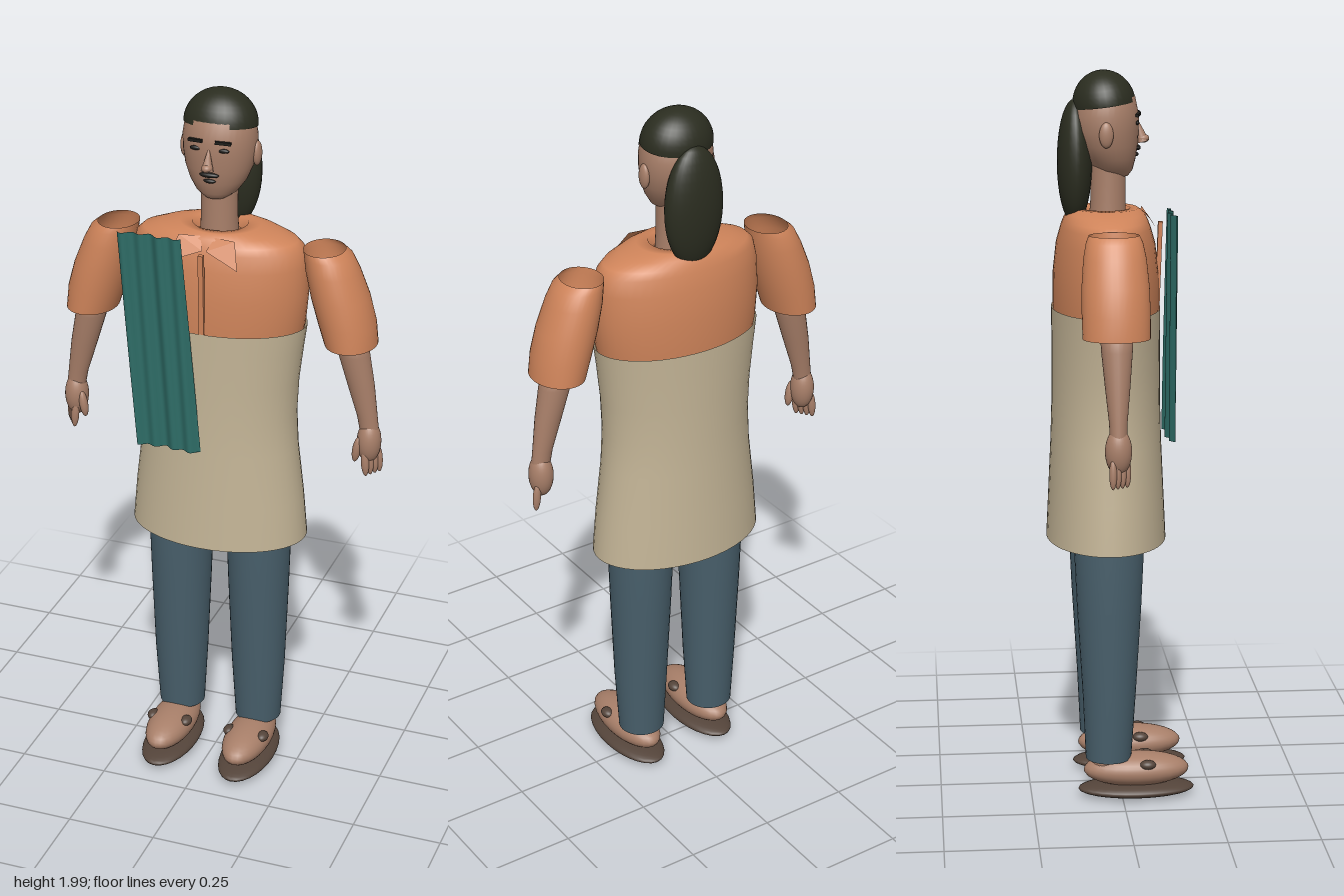
import * as THREE from 'three';

const paint = (name, color, side = THREE.FrontSide) => {
  const m = new THREE.MeshStandardMaterial({ color, side });
  m.name = name;
  return m;
};
const skin = paint('skin', 0xa87f69);
const hair = paint('hair', 0x2b2d20);
const orange = paint('orangeShirt', 0xcf845a, THREE.DoubleSide);
const cream = paint('creamApron', 0xc3b496, THREE.DoubleSide);
const denim = paint('blueTrousers', 0x485f6b, THREE.DoubleSide);
const teal = paint('tealCloth', 0x2d6b65, THREE.DoubleSide);
const brown = paint('brownSole', 0x54443a);
const dark = paint('darkFeatures', 0x1c1b18);

const CZ = -0.035; // depth of the body axis

// Skin through rising oval sections: [y, rx, rz, cx, cz, squareness]
function loft(rows, n = 36) {
  const pos = [], idx = [];
  for (const [y, rx, rz, cx = 0, cz = CZ, p = 2] of rows) {
    for (let i = 0; i < n; i++) {
      const a = (i / n) * Math.PI * 2, s = Math.sin(a), c = Math.cos(a);
      pos.push(cx + rx * Math.sign(s) * Math.abs(s) ** (2 / p), y, cz + rz * Math.sign(c) * Math.abs(c) ** (2 / p));
    }
  }
  for (let j = 0; j < rows.length - 1; j++) {
    for (let i = 0; i < n; i++) {
      const k = (i + 1) % n, a = j * n + i, b = j * n + k;
      idx.push(a, b, b + n, a, b + n, a + n);
    }
  }
  const g = new THREE.BufferGeometry();
  g.setAttribute('position', new THREE.Float32BufferAttribute(pos, 3));
  g.setIndex(idx);
  g.computeVertexNormals();
  return g;
}

export function createModel() {
  const root = new THREE.Group();
  root.name = 'apronedWorker';

  const add = (name, geo, mat, x = 0, y = 0, z = 0) => {
    const m = new THREE.Mesh(geo, mat);
    m.name = name;
    m.position.set(x, y, z);
    root.add(m);
    return m;
  };
  const ball = (name, mat, x, y, z, rx, ry, rz) => {
    const m = add(name, new THREE.SphereGeometry(1, 28, 18), mat, x, y, z);
    m.scale.set(rx, ry, rz);
    return m;
  };

  // Shirt body, open at the neck
  add('shirt', loft([
    [1.25, 0.212, 0.138], [1.37, 0.238, 0.143], [1.46, 0.246, 0.142], [1.54, 0.243, 0.133],
    [1.585, 0.234, 0.12], [1.603, 0.215, 0.113], [1.62, 0.165, 0.104], [1.632, 0.11, 0.088],
    [1.632, 0.075, 0.066], [1.60, 0.068, 0.06],
  ], 48), orange);

  // Apron wraps the whole body and flares to the hem
  add('apron', loft([
    [0.725, 0.251, 0.164], [0.85, 0.24, 0.158], [1.0, 0.222, 0.151], [1.1, 0.217, 0.148],
    [1.2, 0.222, 0.147], [1.3, 0.234, 0.147], [1.365, 0.243, 0.147],
  ], 48), cream);

  // Squarish waistband whose corners press through the apron
  add('waistband', loft([
    [0.95, 0.19, 0.11], [1.03, 0.202, 0.118, 0, CZ, 2.8], [1.05, 0.202, 0.118, 0, CZ, 2.8], [1.06, 0.01, 0.01],
  ], 48), denim);

  // Front placket
  const placket = add('placket', new THREE.BoxGeometry(0.014, 0.385, 0.012), orange, 0, 1.4, 0.107);
  placket.rotation.x = 0.035;

  // Neck and head
  add('neck', loft([[1.56, 0.055, 0.052, 0, -0.03], [1.66, 0.049, 0.047, 0, -0.028], [1.78, 0.05, 0.048, 0, -0.028]]), skin);
  add('head', loft([
    [1.713, 0.002, 0.002, 0, 0], [1.718, 0.03, 0.028, 0, -0.002], [1.735, 0.056, 0.05, 0, -0.012],
    [1.765, 0.077, 0.068, 0, -0.022], [1.80, 0.091, 0.081, 0, -0.029], [1.84, 0.099, 0.089],
    [1.88, 0.1, 0.09], [1.93, 0.092, 0.08], [1.97, 0.06, 0.05], [1.985, 0.002, 0.002],
  ]), skin);

  // Hair: cap on the crown and a long fall behind
  const cap = add('hairCap', new THREE.SphereGeometry(1, 32, 10, 0, Math.PI * 2, 0, Math.PI / 2), hair, 0, 1.908, -0.038);
  cap.scale.set(0.1, 0.092, 0.085);
  cap.rotation.x = -0.13;
  ball('backHair', hair, 0, 1.755, -0.118, 0.086, 0.168, 0.047);

  // Face
  const nose = add('nose', new THREE.ConeGeometry(0.017, 0.065, 12), skin, 0, 1.84, 0.058);
  nose.rotation.x = -0.25;
  ball('noseTip', skin, 0, 1.817, 0.066, 0.015, 0.012, 0.017);
  ball('upperLip', dark, 0, 1.793, 0.051, 0.027, 0.007, 0.009);
  ball('lowerLip', dark, 0, 1.775, 0.046, 0.017, 0.006, 0.008);

  for (const s of [-1, 1]) {
    const side = s > 0 ? 'left' : 'right';

    ball(side + 'Ear', skin, s * 0.1, 1.835, -0.04, 0.012, 0.034, 0.019);
    ball(side + 'Eye', dark, s * 0.038, 1.862, 0.047, 0.016, 0.006, 0.006);
    const brow = add(side + 'Brow', new THREE.BoxGeometry(0.042, 0.008, 0.009), dark, s * 0.038, 1.884, 0.05);
    brow.rotation.set(0, s * 0.25, -s * 0.08);

    // Pointed collar flap
    const flap = new THREE.BufferGeometry();
    flap.setAttribute('position', new THREE.Float32BufferAttribute([
      s * 0.005, 1.595, 0.09, s * 0.1, 1.56, 0.113, s * 0.078, 1.625, 0.07,
      s * 0.005, 1.595, 0.09, s * 0.078, 1.625, 0.07, s * 0.02, 1.625, 0.062,
    ], 3));
    flap.computeVertexNormals();
    add(side + 'CollarFlap', flap, orange);

    // Sleeve, an open tube bulging outward
    add(side + 'Sleeve', loft([
      [1.34, 0.07, 0.088, s * 0.37], [1.40, 0.077, 0.089, s * 0.357], [1.47, 0.078, 0.088, s * 0.337],
      [1.54, 0.072, 0.082, s * 0.315], [1.58, 0.064, 0.074, s * 0.302], [1.597, 0.055, 0.066, s * 0.29],
    ]), orange);

    // Forearm, palm, thumb and fingers
    add(side + 'Forearm', loft([
      [1.08, 0.026, 0.022, s * 0.428], [1.13, 0.028, 0.024, s * 0.42], [1.22, 0.037, 0.033, s * 0.4],
      [1.31, 0.043, 0.041, s * 0.378], [1.36, 0.044, 0.043, s * 0.368], [1.375, 0.002, 0.002, s * 0.366],
    ], 24), skin);
    ball(side + 'Palm', skin, s * 0.427, 1.055, CZ, 0.033, 0.062, 0.035);
    const thumb = ball(side + 'Thumb', skin, s * 0.399, 1.035, -0.015, 0.012, 0.038, 0.013);
    thumb.rotation.z = -s * 0.15;
    for (let i = 0; i < 4; i++) {
      const f = ball(side + 'Finger' + (i + 1), skin, s * (0.424 + i * 0.009), 1.0, -0.012 - i * 0.013, 0.011, 0.04, 0.01);
      f.rotation.z = s * 0.08;
    }

    // Trouser leg and ankle
    add(side + 'TrouserLeg', loft([
      [0.118, 0.065, 0.063, s * 0.117, -0.037], [0.3, 0.076, 0.073, s * 0.117], [0.55, 0.085, 0.088, s * 0.116],
      [0.75, 0.091, 0.097, s * 0.115], [1.0, 0.092, 0.1, s * 0.108],
    ]), denim);
    add(side + 'Ankle', loft([[0.07, 0.042, 0.045, s * 0.117, -0.04], [0.2, 0.04, 0.042, s * 0.117, -0.04]], 20), skin);

    // Foot on a sandal sole with strap knobs
    ball(side + 'Foot', skin, s * 0.117, 0.083, 0.04, 0.065, 0.047, 0.146);
    ball(side + 'Sole', brown, s * 0.117, 0.028, 0.04, 0.075, 0.022, 0.161);
    for (const k of [-1, 1]) ball(side + 'StrapKnob', brown, s * 0.117 + k * 0.05, 0.108, 0.068, 0.017, 0.013, 0.022);
  }

  // Rippled cloth hanging over the right shoulder, slanting toward the middle
  const cloth = new THREE.PlaneGeometry(1, 1, 40, 8);
  const p = cloth.attributes.position;
  for (let i = 0; i < p.count; i++) {
    const u = p.getX(i) + 0.5, v = 0.5 - p.getY(i);
    p.setXYZ(i, -0.228 + u * 0.176 + v * 0.052, 1.635 - v * 0.615,
      0.128 + 0.007 * Math.sin(u * 22 + v * 1.5) + 0.004 * Math.sin(u * 9 + 1));
  }
  cloth.computeVertexNormals();
  add('shoulderCloth', cloth, teal);

  return root;
}
